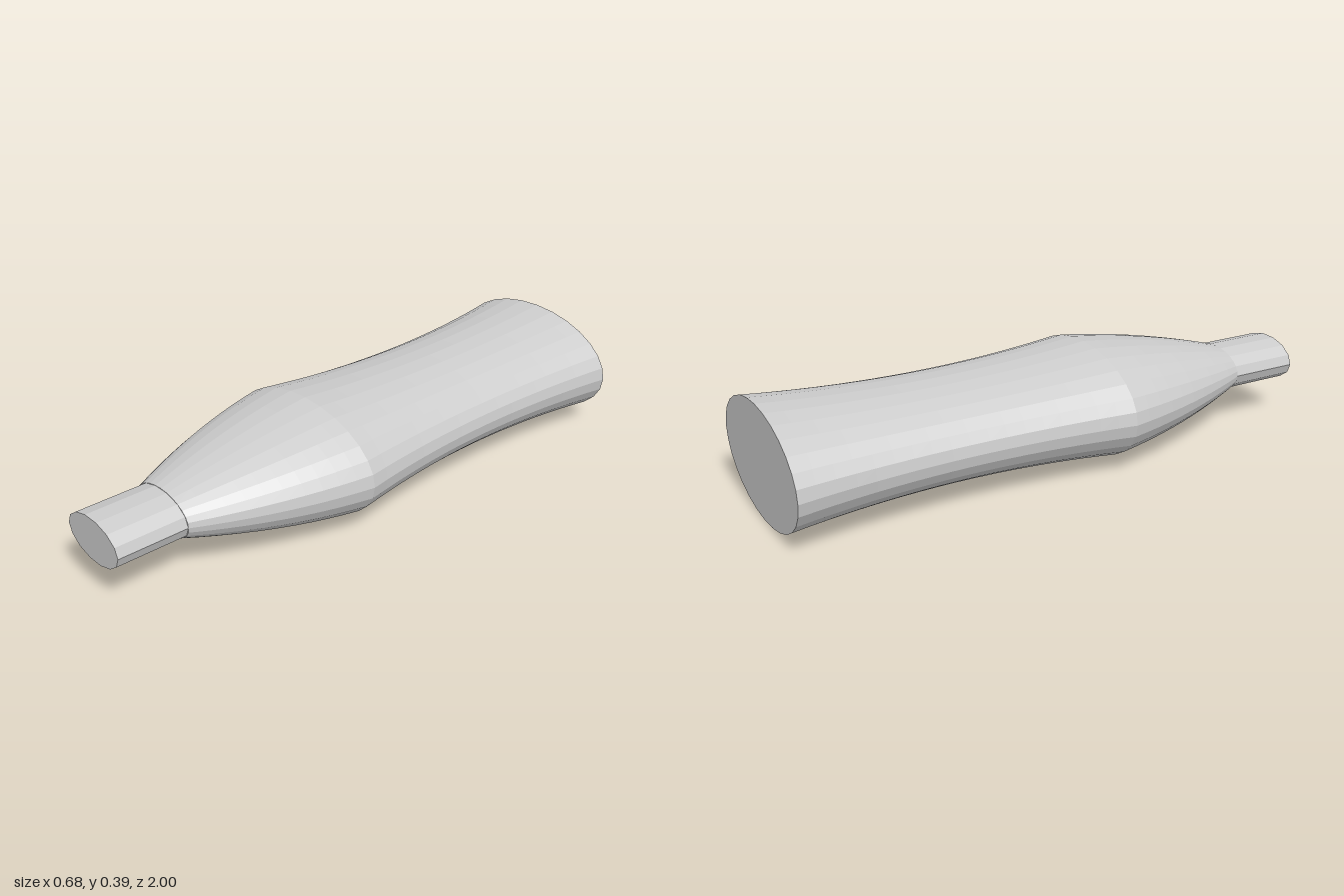
import * as THREE from 'three';

const FLATTEN = 0.573; // height of the oval section relative to its width
const CENTRE_Y = 0.195;

// Turns a [radius, z] profile around z and squashes it to an oval
function ovalLathe(name, profile, sides, material) {
  const points = profile.map(([r, z]) => new THREE.Vector2(r, z));
  const geometry = new THREE.LatheGeometry(points, sides, Math.PI / 2);
  geometry.rotateX(Math.PI / 2);
  geometry.scale(1, FLATTEN, 1);
  geometry.translate(0, CENTRE_Y, 0);
  const mesh = new THREE.Mesh(geometry, material);
  mesh.name = name;
  return mesh;
}

// Samples a radius rule r(t) between two z positions
function sample(z0, z1, steps, radius) {
  return Array.from({ length: steps + 1 }, (_, i) => {
    const t = i / steps;
    return [radius(t), z0 + (z1 - z0) * t];
  });
}

export function createModel() {
  const group = new THREE.Group();
  group.name = 'taperedHandle';
  const material = new THREE.MeshStandardMaterial({ color: 0xcccccc, flatShading: true });

  // Waisted grip, closed at the back
  const grip = sample(-1, 0.17, 18, (t) => 0.29 + 0.05 * (2 * t - 1) ** 2);
  group.add(ovalLathe('grip', [[0, -1], ...grip], 28, material));

  // Rounded shoulder narrowing towards the neck
  const shoulder = sample(0.17, 0.75, 10, (t) => 0.34 - 0.203 * (0.55 * t + 0.45 * t * t));
  group.add(ovalLathe('shoulder', [...shoulder, [0, 0.75]], 28, material));

  // Straight neck with a flat front end
  group.add(ovalLathe('neck', [[0.136, 0.71], [0.136, 1], [0, 1]], 14, material));

  return group;
}
